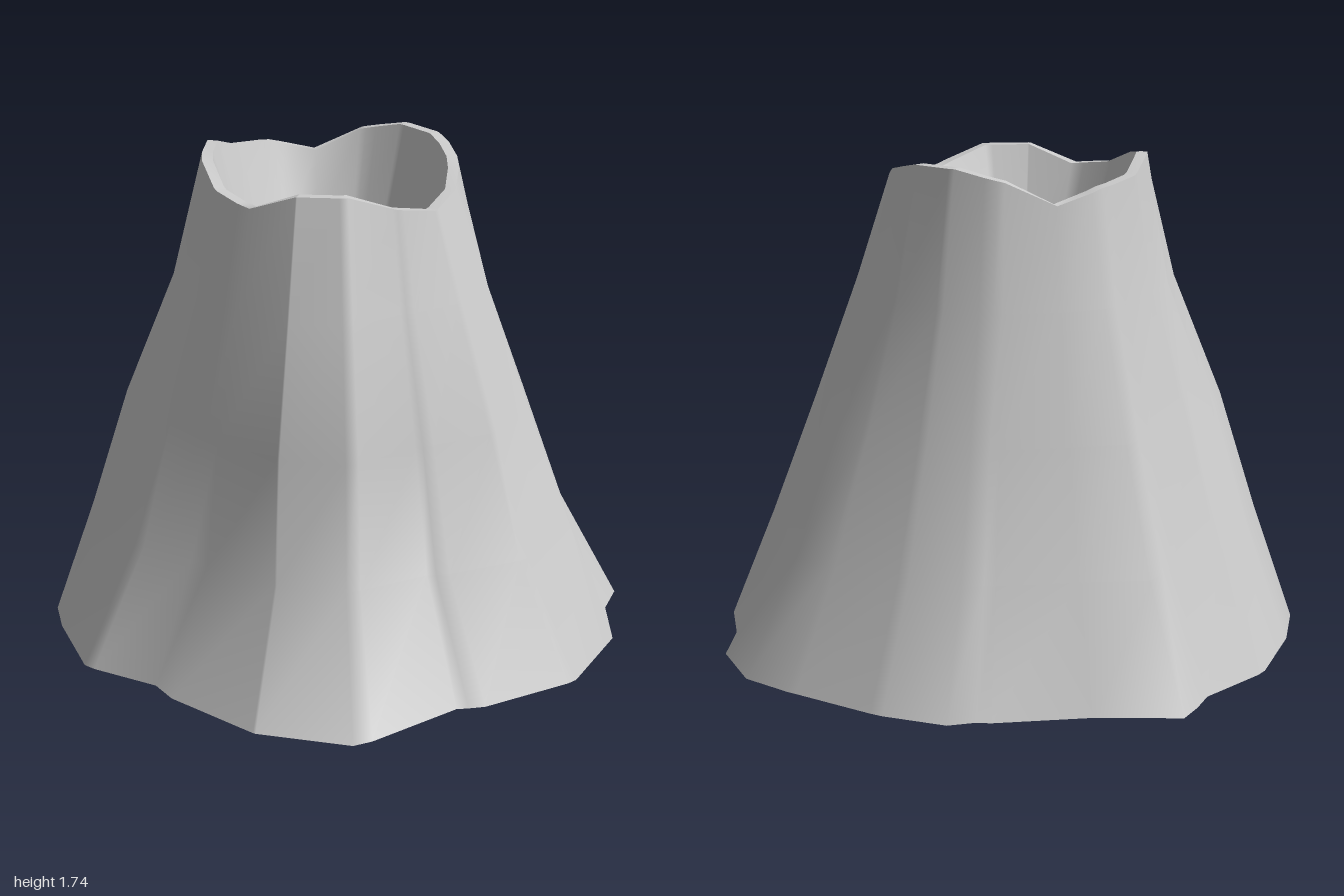
import * as THREE from 'three';

const CX = -0.03, CZ = -0.045, TAU = Math.PI * 2, DEG = Math.PI / 180;

// Foot outline (x, z), going round from the front towards +x
const FOOT = [
  [-0.02, 0.945], [0.31, 0.95], [0.58, 0.62], [0.67, 0.58], [0.93, 0.31], [1, -0.05],
  [0.935, -0.29], [0.945, -0.44], [0.83, -0.65], [0.64, -0.76], [0.37, -0.89], [0.11, -0.955],
  [0.02, -0.92], [-0.36, -0.83], [-0.65, -0.8], [-0.72, -0.61], [-0.91, -0.36], [-0.98, -0.07],
  [-1, 0.18], [-0.93, 0.32], [-0.74, 0.6], [-0.45, 0.69],
];

// Rim heights at 16 equal steps from the front towards +x
const RIM_Y = [1.675, 1.675, 1.62, 1.585, 1.615, 1.69, 1.73, 1.735,
  1.7, 1.62, 1.665, 1.68, 1.73, 1.7, 1.64, 1.615];

// Spread of the slope between rim (0) and foot (1): angle, then three heights
const SPREAD = [
  [0, 0.51, 0.43, 0.2], [19, 0.51, 0.44, 0.22], [43, 0.55, 0.36, 0.13], [90, 0.73, 0.46, 0.2],
  [108, 0.64, 0.4, 0.15], [128, 0.69, 0.42, 0.17], [180, 0.62, 0.37, 0.15],
  [225, 0.64, 0.38, 0.14], [270, 0.72, 0.47, 0.15], [283, 0.74, 0.5, 0.19], [315, 0.6, 0.38, 0.14],
];

// Linear interpolation round the circle; keys are [angle, value] sorted by angle
function around(keys, angle) {
  const n = keys.length;
  let i = n - 1;
  while (i >= 0 && keys[i][0] > angle + 1e-9) i--;
  const a = i < 0 ? [keys[n - 1][0] - TAU, keys[n - 1][1]] : keys[i];
  const b = i === n - 1 ? [keys[0][0] + TAU, keys[0][1]] : keys[i + 1];
  return THREE.MathUtils.lerp(a[1], b[1], (angle - a[0]) / (b[0] - a[0]));
}

const footKeys = FOOT.map(([x, z]) => [
  (Math.atan2(x - CX, z - CZ) + TAU) % TAU, Math.hypot(x - CX, z - CZ),
]).sort((a, b) => a[0] - b[0]);
const rimKeys = RIM_Y.map((y, i) => [i * TAU / 16, y]);
const spreadKeys = [1, 2, 3].map(k => SPREAD.map(s => [s[0] * DEG, s[k]]));

// Columns pass through every foot corner and every rim corner
const columns = [...footKeys, ...rimKeys].map(k => k[0]).sort((a, b) => a - b)
  .filter((a, i, all) => i === 0 || a - all[i - 1] > 0.01);

// Closed surface of rings; each ring maps an angle to [radius, height]
function ringSurface(rings) {
  const n = columns.length, position = [], index = [];
  for (const ring of rings) {
    for (const a of columns) {
      const [r, y] = ring(a);
      position.push(CX + r * Math.sin(a), y, CZ + r * Math.cos(a));
    }
  }
  for (let i = 0; i < rings.length - 1; i++) {
    for (let j = 0; j < n; j++) {
      const a = i * n + j, b = i * n + (j + 1) % n;
      index.push(a, b, b + n, a, b + n, a + n);
    }
  }
  const geometry = new THREE.BufferGeometry();
  geometry.setAttribute('position', new THREE.Float32BufferAttribute(position, 3));
  geometry.setIndex(index);
  geometry.computeVertexNormals();
  return geometry;
}

export function createModel() {
  const group = new THREE.Group();
  group.name = 'volcano';
  const material = new THREE.MeshStandardMaterial({ color: 0xcccccc, side: THREE.DoubleSide });
  const add = (name, rings) => {
    const mesh = new THREE.Mesh(ringSurface(rings), material);
    mesh.name = name;
    group.add(mesh);
  };

  const RIM = 0.437, LIP = 0.4, FLOOR = 0.213, FLOOR_Y = 1.15;
  const foot = a => [around(footKeys, a), 0.01 + 0.01 * Math.sin(a)];
  const slope = (k, y) => a => [
    THREE.MathUtils.lerp(RIM, around(footKeys, a), around(spreadKeys[k], a)), y,
  ];
  const rim = a => [RIM, around(rimKeys, a)];
  const lip = a => [LIP, around(rimKeys, a)];
  const floor = () => [FLOOR, FLOOR_Y];

  // Flared outer slope, open underneath
  add('outerSlope', [foot, slope(0, 0.42), slope(1, 0.85), slope(2, 1.28), rim]);
  // Narrow wavy band round the mouth
  add('craterRim', [rim, lip]);
  // Funnel-shaped inside of the crater
  add('craterWall', [lip, a => [0.315, (around(rimKeys, a) + FLOOR_Y) / 2], floor]);
  // Flat bottom of the crater
  add('craterFloor', [floor, () => [0, FLOOR_Y]]);

  return group;
}
